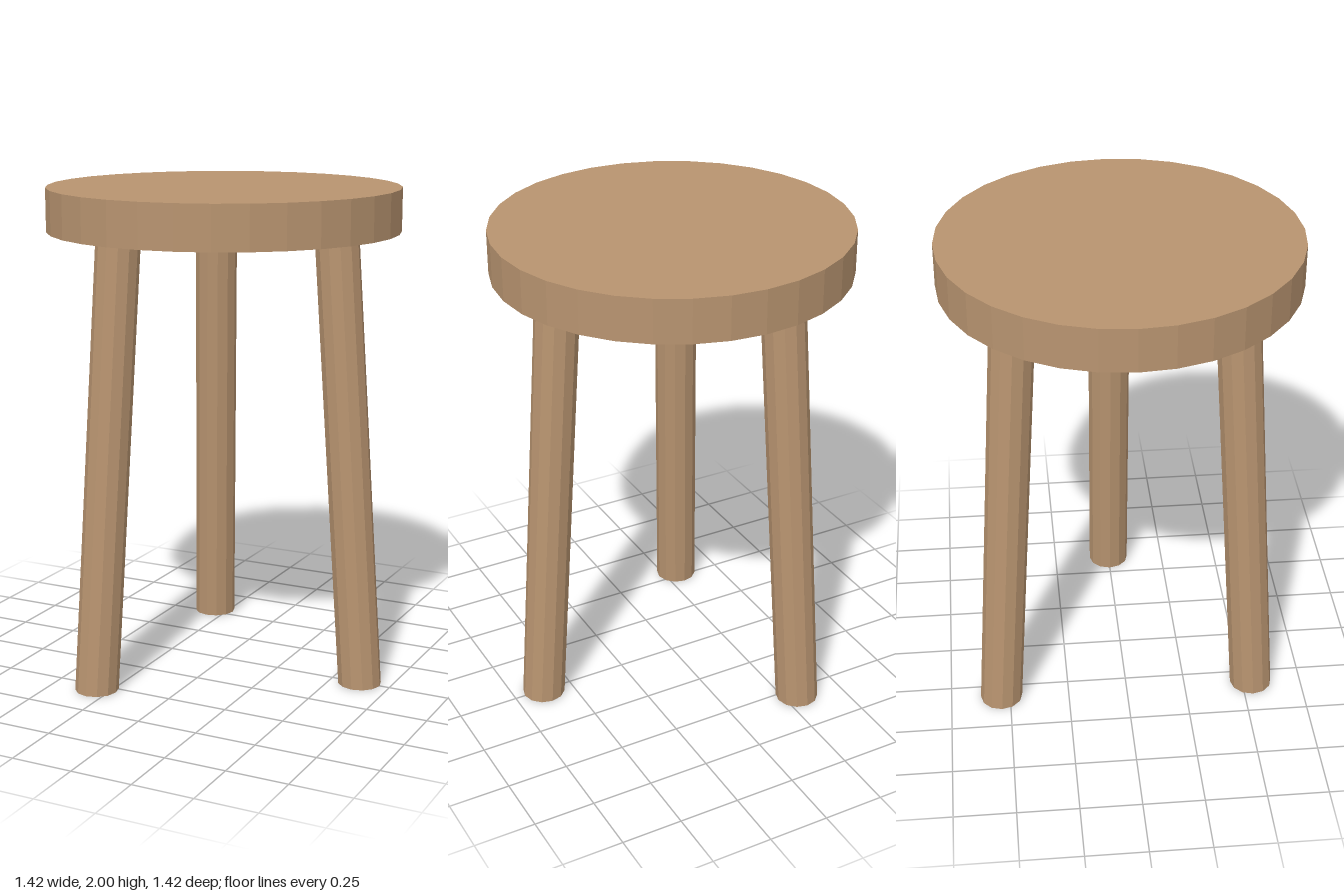
import * as THREE from 'three';

export function createModel() {
  const model = new THREE.Group();
  model.name = 'stool';
  const wood = new THREE.MeshStandardMaterial({ color: 0xb89470, flatShading: true });

  // Round seat
  const seatBottom = 1.825, seatTop = 2;
  const seat = new THREE.Mesh(
    new THREE.CylinderGeometry(0.71, 0.71, seatTop - seatBottom, 32), wood);
  seat.position.y = (seatTop + seatBottom) / 2;
  seat.name = 'seat';
  model.add(seat);

  // Splayed leg: a cylinder sheared outwards, so its foot stays level on the floor
  const footRadius = 0.62, headRadius = 0.49;
  function makeLeg() {
    const geometry = new THREE.CylinderGeometry(0.088, 0.088, seatBottom, 12);
    geometry.translate(0, seatBottom / 2, 0);
    const p = geometry.attributes.position;
    for (let i = 0; i < p.count; i++) {
      const t = p.getY(i) / seatBottom;
      p.setX(i, p.getX(i) + THREE.MathUtils.lerp(footRadius, headRadius, t));
    }
    geometry.computeVertexNormals();
    return new THREE.Mesh(geometry, wood);
  }

  // Three legs, evenly spaced around the seat
  ['leftLeg', 'backRightLeg', 'frontRightLeg'].forEach((name, i) => {
    const leg = makeLeg();
    leg.rotation.y = (i * Math.PI * 2) / 3;
    leg.name = name;
    model.add(leg);
  });

  return model;
}
